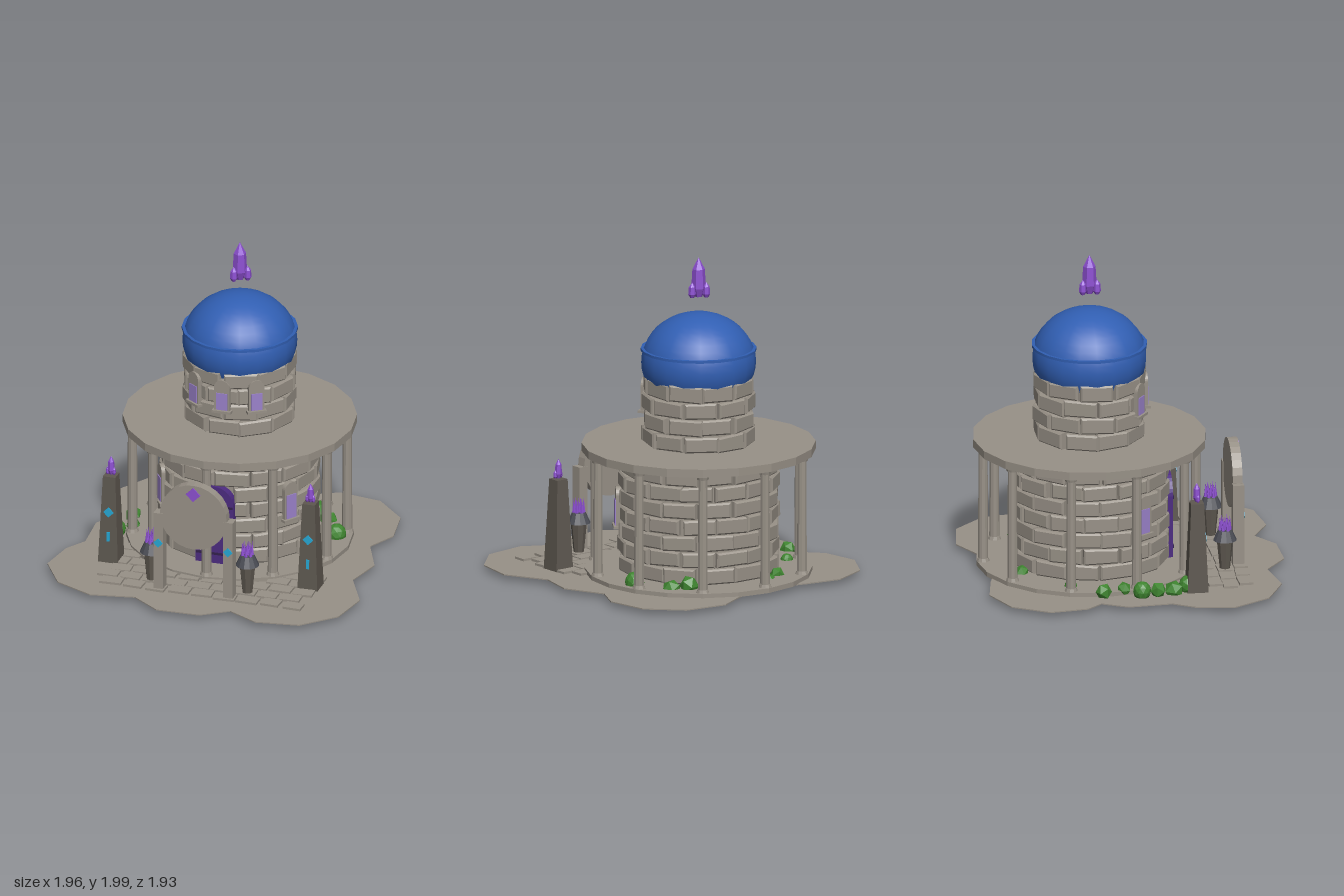
import * as THREE from 'three';

const mat = (name, color, flatShading = true) => {
  const m = new THREE.MeshStandardMaterial({ color, flatShading });
  m.name = name;
  return m;
};

export function createModel() {
  const stone = mat('stone', 0x989187), darkStone = mat('dark stone', 0x5e5850);
  const slate = mat('slate', 0x4b4d55), blue = mat('dome blue', 0x315fb3, false);
  const violet = mat('crystal violet', 0x8c4fd0), doorPurple = mat('door purple', 0x4c2b80);
  const trim = mat('door trim', 0x33214d), lilac = mat('window lilac', 0x9b82cb);
  const cyan = mat('rune cyan', 0x26a8d4), green = mat('leaf green', 0x3f8530);

  const model = new THREE.Group();
  let seed = 7;
  const rnd = () => (seed = (seed * 16807) % 2147483647) / 2147483647;
  const jit = (a) => (rnd() - 0.5) * 2 * a;

  function add(parent, name, geo, material, x = 0, y = 0, z = 0) {
    const m = new THREE.Mesh(geo, material);
    m.name = name;
    m.position.set(x, y, z);
    parent.add(m);
    return m;
  }
  function group(parent, name, x = 0, y = 0, z = 0) {
    const g = new THREE.Group();
    g.name = name;
    g.position.set(x, y, z);
    parent.add(g);
    return g;
  }
  const box = (w, h, d) => new THREE.BoxGeometry(w, h, d);
  const cyl = (rt, rb, h, n) => new THREE.CylinderGeometry(rt, rb, h, n);
  const lathe = (pts, n) => new THREE.LatheGeometry(pts.map((p) => new THREE.Vector2(...p)), n);

  // Arched plate standing on y = 0, back on z = 0
  function arch(w, h, depth) {
    const s = new THREE.Shape();
    s.moveTo(-w / 2, 0).lineTo(w / 2, 0).lineTo(w / 2, h - w / 2);
    s.absarc(0, h - w / 2, w / 2, 0, Math.PI).lineTo(-w / 2, 0);
    return new THREE.ExtrudeGeometry(s, { depth, bevelEnabled: false, curveSegments: 8 });
  }
  // Chamfered stone block, centred, front face at z = 0
  function block(w, h, d) {
    const b = 0.01, x = w / 2 - b, y = h / 2 - b, s = new THREE.Shape();
    s.moveTo(-x, -y).lineTo(x, -y + jit(0.006)).lineTo(x, y).lineTo(-x, y + jit(0.006)).closePath();
    const g = new THREE.ExtrudeGeometry(s, { depth: d, bevelSize: b, bevelThickness: b, bevelSegments: 1 });
    return g.translate(0, 0, -d - b);
  }
  // Pointed crystal, base on y = 0
  const crystal = (r, h) => lathe([[0, 0], [r * 0.5, 0], [r, h * 0.22], [r * 0.85, h * 0.7], [0, h]], 6);

  // Ground with lobed outline
  const outline = [
    [-0.55, -0.9], [-0.32, -0.86], [-0.1, -0.8], [0.1, -0.82], [0.24, -0.89], [0.39, -0.97], [0.66, -0.93],
    [0.85, -0.74], [0.89, -0.48], [0.8, -0.3], [0.91, -0.05], [0.85, 0.19], [0.98, 0.45], [0.93, 0.71],
    [0.74, 0.9], [0.47, 0.94], [0.28, 0.84], [0.12, 0.95], [-0.15, 0.96], [-0.33, 0.83], [-0.6, 0.88],
    [-0.84, 0.77], [-0.98, 0.54], [-0.94, 0.3], [-0.86, 0.17], [-0.88, -0.1], [-0.8, -0.25], [-0.88, -0.34],
    [-0.91, -0.58], [-0.78, -0.8]];
  const groundShape = new THREE.Shape(outline.map(([x, z]) => new THREE.Vector2(x, -z)));
  const groundGeo = new THREE.ExtrudeGeometry(groundShape, { depth: 0.007, bevelEnabled: false });
  add(model, 'ground', groundGeo.rotateX(-Math.PI / 2), stone, 0, 0.037, 0);

  // Paving slabs
  const paving = group(model, 'paving');
  for (let row = 0; row < 6; row++) {
    const z = 0.17 + row * 0.1;
    for (let i = 0; i < 9; i++) {
      const x = -0.58 + i * 0.145 + (row % 2) * 0.05;
      if (Math.hypot(x, z + 0.21) < 0.66 || x > 0.63) continue;
      const slab = add(paving, 'pavingSlab', box(0.125 + jit(0.012), 0.016, 0.085), stone, x, 0.05, z + jit(0.008));
      slab.rotation.y = jit(0.06);
    }
  }

  // Tower, everything round its own axis
  const tower = group(model, 'tower', 0, 0, -0.21);
  add(tower, 'baseDisc', cyl(0.69, 0.69, 0.03, 20), stone, 0, 0.055, 0);
  add(tower, 'roofSlab', cyl(0.71, 0.71, 0.05, 20), stone, 0, 0.825, 0);
  add(tower, 'lowerCore', cyl(0.455, 0.455, 0.73, 28), stone, 0, 0.435, 0);
  add(tower, 'upperCore', cyl(0.305, 0.305, 0.42, 20), stone, 0, 1.05, 0);

  function brickWall(name, r, count, rows, y0, pitch, skip) {
    const wall = group(tower, name);
    for (let row = 0; row < rows; row++) {
      for (let i = 0; i < count; i++) {
        const a = ((i + (row % 2) * 0.5 + jit(0.06)) / count) * Math.PI * 2;
        const y = y0 + (row + 0.5) * pitch, R = r + jit(0.007);
        if (skip(a, y)) continue;
        const w = 2 * r * Math.tan(Math.PI / count) * (0.94 + jit(0.04));
        const b = add(wall, 'brick', block(w, pitch * 0.93, 0.06), stone, Math.sin(a) * R, y, Math.cos(a) * R);
        b.rotation.set(0, a + jit(0.02), jit(0.02));
      }
    }
  }
  brickWall('lowerBricks', 0.48, 14, 7, 0.07, 0.102, (a, y) => Math.cos(a) > 0.98 && y < 0.55);
  brickWall('upperBricks', 0.33, 10, 4, 0.852, 0.105, () => false);

  // Ten columns
  for (let i = 0; i < 10; i++) {
    const a = (i / 10) * Math.PI * 2;
    const c = group(tower, 'column', Math.sin(a) * 0.65, 0, Math.cos(a) * 0.65);
    add(c, 'shaft', cyl(0.028, 0.031, 0.73, 10), stone, 0, 0.435, 0);
    add(c, 'capital', cyl(0.042, 0.036, 0.025, 10), stone, 0, 0.788, 0);
    add(c, 'foot', cyl(0.034, 0.04, 0.02, 10), stone, 0, 0.08, 0);
  }

  // Windows
  function windowAt(angle, r, y, h, paneH) {
    const g = group(tower, 'window', Math.sin(angle) * r, y, Math.cos(angle) * r);
    g.rotation.y = angle;
    add(g, 'windowFrame', arch(0.098, h, 0.08), stone, 0, 0, -0.08);
    add(g, 'windowPane', box(0.07, paneH, 0.006), lilac, 0, 0.015 + paneH / 2, 0.002);
    add(g, 'windowSill', box(0.12, 0.016, 0.05), stone, 0, 0.004, -0.01);
  }
  for (const a of [-0.61, 0, 0.61]) windowAt(a, 0.352, 1.02, 0.21, 0.11);
  for (const a of [-0.98, 0.98]) windowAt(a, 0.505, 0.33, 0.25, 0.155);

  // Door
  const door = group(tower, 'door', 0, 0.075, 0.495);
  add(door, 'doorPanel', arch(0.24, 0.51, 0.08), doorPurple, 0, 0, -0.08);
  for (const y of [0.065, 0.38]) add(door, 'doorBar', box(0.23, 0.014, 0.008), trim, 0, y, 0.003);
  add(door, 'doorKnob', new THREE.IcosahedronGeometry(0.013, 1), trim, 0.075, 0.23, 0.008);

  // Dome with rim
  const dome = add(tower, 'dome', new THREE.SphereGeometry(0.348, 20, 14, 0, Math.PI * 2, 0, 2.0), blue, 0, 1.35, 0);
  dome.scale.y = 0.876;
  add(tower, 'domeRim', cyl(0.352, 0.352, 0.016, 20), blue, 0, 1.43, 0);
  add(tower, 'domeUnderside', new THREE.CircleGeometry(0.317, 20).rotateX(Math.PI / 2), blue, 0, 1.223, 0);

  // Floating crystal cluster
  const finial = group(tower, 'floatingCrystal', 0, 1.755, 0);
  add(finial, 'mainCrystal', crystal(0.045, 0.245), violet, 0, 0, 0);
  for (let i = 0; i < 3; i++) {
    const a = Math.PI / 2 + (i * Math.PI * 2) / 3;
    add(finial, 'sideCrystal', crystal(0.024, 0.095), violet, Math.sin(a) * 0.05, 0, Math.cos(a) * 0.05);
  }

  // Round gate in front
  const gate = group(model, 'gate', 0, 0, 0.667);
  add(gate, 'gateDisc', cyl(0.213, 0.213, 0.06, 28).rotateX(Math.PI / 2), stone, 0, 0.562, 0);
  const gem = add(gate, 'gateGem', box(0.065, 0.065, 0.009), violet, 0, 0.715, 0.033);
  gem.rotation.z = Math.PI / 4;

  for (const s of [-1, 1]) {
    add(gate, 'gatePost', box(0.06, 0.52, 0.068), stone, s * 0.222, 0.3, 0);
    const rune = add(gate, 'postRune', box(0.042, 0.042, 0.008), cyan, s * 0.222, 0.363, 0.036);
    rune.rotation.z = Math.PI / 4;

    // Obelisk with runes and crystal
    const ob = group(model, 'obelisk', s * 0.635, 0.04, 0.355);
    add(ob, 'obeliskBody', cyl(0.056, 0.09, 0.565, 4).rotateY(Math.PI / 4), darkStone, 0, 0.283, 0);
    const diamond = add(ob, 'diamondRune', box(0.046, 0.046, 0.008), cyan, 0, 0.335, 0.052);
    diamond.rotation.z = Math.PI / 4;
    add(ob, 'barRune', box(0.02, 0.06, 0.008), cyan, 0, 0.175, 0.058);
    add(ob, 'obeliskCrystal', crystal(0.022, 0.12), violet, 0, 0.57, 0);
    for (const dx of [-0.02, 0.02]) add(ob, 'smallCrystal', crystal(0.012, 0.05), violet, dx, 0.57, 0.005);

    // Brazier holding crystal spikes
    const br = group(model, 'brazier', s * 0.305, 0.04, 0.575);
    add(br, 'brazierStand', cyl(0.05, 0.03, 0.2, 8), darkStone, 0, 0.1, 0);
    add(br, 'brazierBowl', cyl(0.043, 0.072, 0.065, 12), slate, 0, 0.23, 0);
    for (let i = 0; i < 7; i++) {
      const a = (i / 6) * Math.PI * 2, r = i < 6 ? 0.03 : 0;
      add(br, 'spike', new THREE.ConeGeometry(0.014, 0.11, 5), violet, Math.sin(a) * r, 0.298, Math.cos(a) * r);
    }
  }

  // Bushes: x, z, radius
  const bushes = [
    [-0.71, 0.01, 0.055], [-0.7, 0.11, 0.05], [-0.675, 0.21, 0.062], [-0.64, 0.3, 0.055], [-0.68, -0.22, 0.05],
    [-0.64, -0.09, 0.045], [-0.53, -0.4, 0.04], [-0.25, -0.66, 0.045], [-0.16, -0.7, 0.035],
    [0.58, -0.32, 0.06], [0.46, -0.53, 0.062], [0.38, -0.6, 0.06], [0.52, 0.12, 0.03]];
  bushes.forEach(([x, z, r], i) => {
    const b = add(model, 'bush', new THREE.IcosahedronGeometry(r, i % 3 ? 0 : 1), green, x, r + 0.025, z);
    if (r > 0.06) b.position.y = r;
    b.scale.y = r > 0.06 ? 1 : 1.1;
    b.rotation.y = i * 1.3;
  });
  return model;
}
